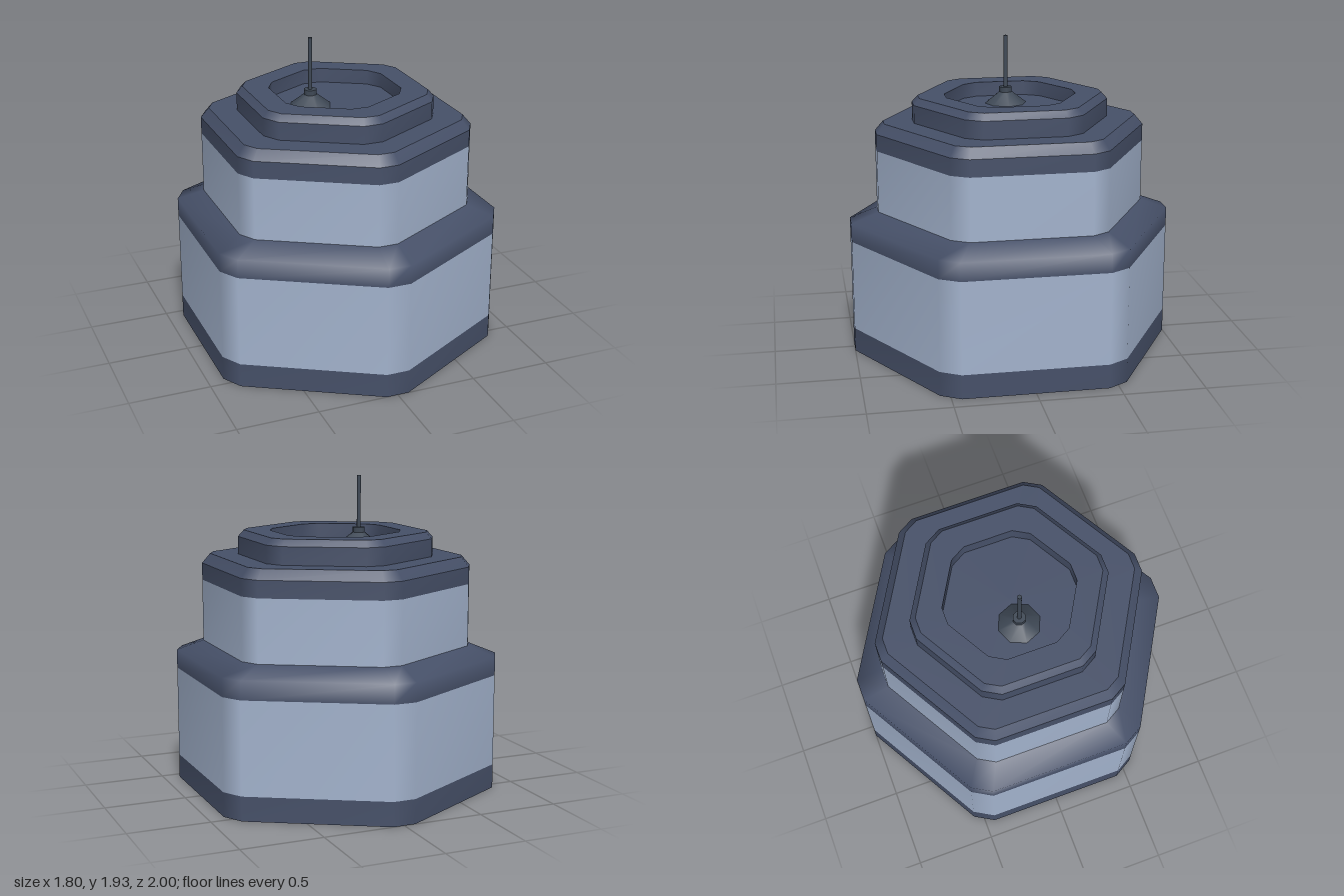
import * as THREE from 'three';

const trim = new THREE.MeshStandardMaterial({ color: 0x465068, side: THREE.DoubleSide });
trim.name = 'slate trim';
const panel = new THREE.MeshStandardMaterial({ color: 0xa2b2cc, side: THREE.DoubleSide });
panel.name = 'pale blue panel';
const metal = new THREE.MeshStandardMaterial({ color: 0x3f4956 });
metal.name = 'dark metal';

// Hexagon with cut corners: d = centre to cut corner, h = half width of the cut
function ring(y, d, h) {
  const points = [];
  for (let k = 0; k < 6; k++) {
    const c = Math.cos(k * Math.PI / 3), s = Math.sin(k * Math.PI / 3);
    for (const e of [-h, h]) points.push(e * c + d * s, y, -e * s + d * c);
  }
  return points;
}

// Skin through a list of rings, smooth inside the band and sharp at its ends
function band(name, material, rings) {
  const index = [];
  for (let r = 0; r < rings.length - 1; r++) {
    for (let i = 0; i < 12; i++) {
      const a = r * 12 + i, b = r * 12 + (i + 1) % 12;
      index.push(a, b, b + 12, a, b + 12, a + 12);
    }
  }
  const geometry = new THREE.BufferGeometry();
  geometry.setAttribute('position',
    new THREE.Float32BufferAttribute(rings.flatMap(r => ring(...r)), 3));
  geometry.setIndex(index);
  geometry.computeVertexNormals();
  const mesh = new THREE.Mesh(geometry, material);
  mesh.name = name;
  return mesh;
}

function createAntenna() {
  const antenna = new THREE.Group();
  antenna.name = 'antenna';
  const add = (name, top, bottom, y0, y1, sides) => {
    const mesh = new THREE.Mesh(
      new THREE.CylinderGeometry(top, bottom, y1 - y0, sides), metal);
    mesh.position.y = (y0 + y1) / 2;
    mesh.name = name;
    antenna.add(mesh);
  };
  add('antennaFoot', 0.035, 0.13, 1.51, 1.585, 8);
  add('antennaCollar', 0.04, 0.04, 1.575, 1.613, 8);
  add('antennaMast', 0.013, 0.013, 1.61, 1.935, 8);
  antenna.position.x = -0.16;
  return antenna;
}

export function createModel() {
  const model = new THREE.Group();
  model.name = 'tieredBuilding';
  model.add(
    // lower tier, open underneath
    band('baseTrim', trim, [[0, 1, 0.07], [0.15, 1, 0.07]]),
    band('lowerWall', panel, [[0.15, 1, 0.07], [0.72, 1, 0.07]]),
    band('shoulder', trim, [[0.72, 1, 0.07], [0.835, 1, 0.07], [0.9, 0.83, 0.06]]),
    // upper tier
    band('upperWall', panel, [[0.9, 0.83, 0.06], [1.285, 0.83, 0.06]]),
    band('upperTrim', trim, [[1.285, 0.83, 0.06], [1.39, 0.83, 0.06]]),
    band('upperBevel', trim, [[1.39, 0.83, 0.06], [1.45, 0.78, 0.05]]),
    band('upperRoof', trim, [[1.45, 0.78, 0.05], [1.45, 0.6, 0.06]]),
    // cap with a sunken roof
    band('capWall', trim, [[1.45, 0.6, 0.06], [1.56, 0.6, 0.06]]),
    band('capBevel', trim, [[1.56, 0.6, 0.06], [1.6, 0.565, 0.05]]),
    band('capRim', trim, [[1.6, 0.565, 0.05], [1.6, 0.4, 0.055]]),
    band('recessWall', trim, [[1.6, 0.4, 0.055], [1.51, 0.4, 0.055]]),
    band('recessFloor', trim, [[1.51, 0.4, 0.055], [1.51, 0, 0]]),
    createAntenna()
  );
  return model;
}
